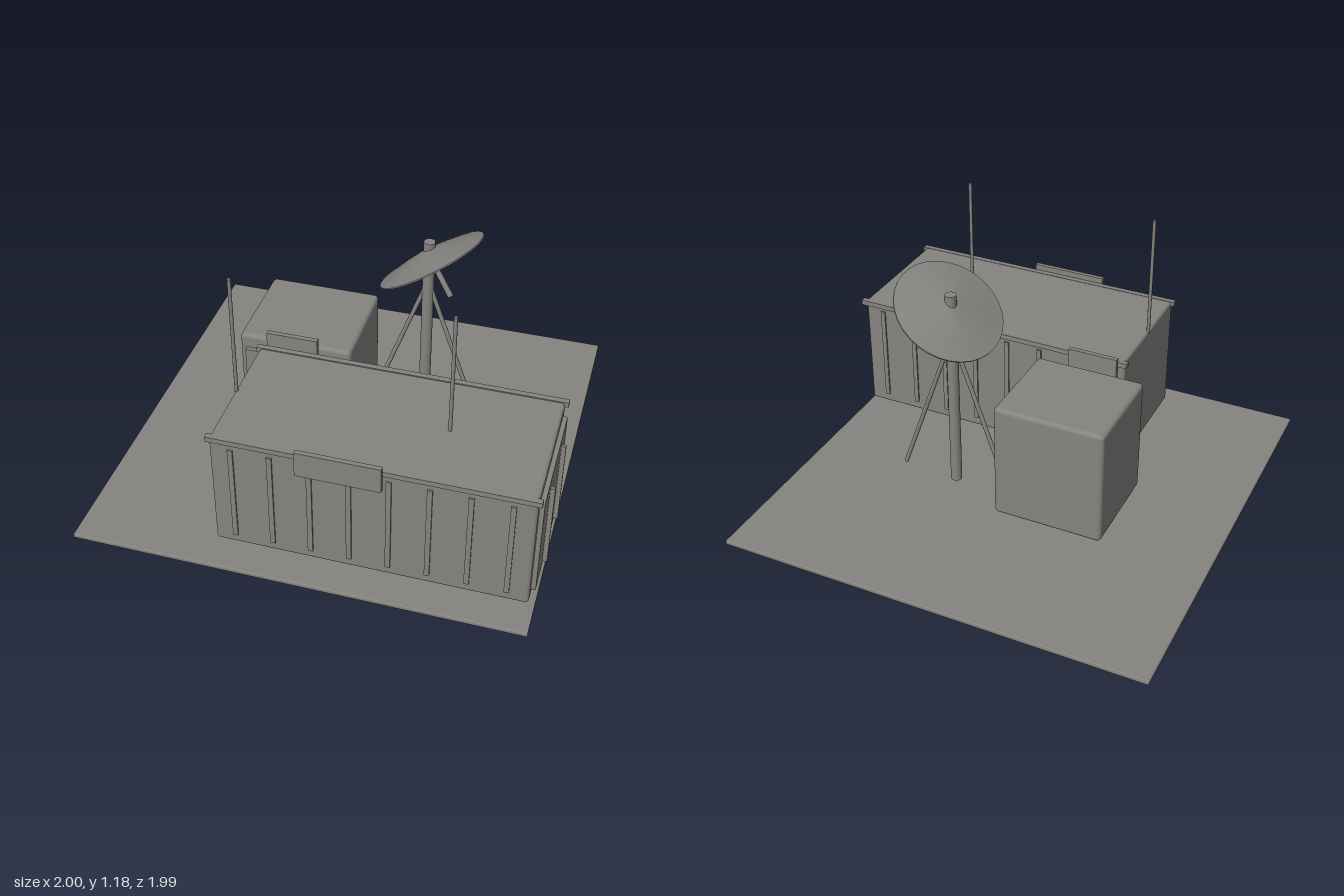
import * as THREE from 'three';
import { RoundedBoxGeometry } from 'three/addons/geometries/RoundedBoxGeometry.js';

export function createModel() {
  const model = new THREE.Group();
  model.name = 'fieldStation';
  const grey = new THREE.MeshStandardMaterial({ color: 0x868480 });
  grey.name = 'paintedGrey';

  function add(parent, name, geometry) {
    const mesh = new THREE.Mesh(geometry, grey);
    mesh.name = name;
    parent.add(mesh);
    return mesh;
  }
  // Box given by its limits on each axis, with optional rounded edges
  function box(parent, name, [x0, x1], [y0, y1], [z0, z1], radius = 0) {
    const size = [x1 - x0, y1 - y0, z1 - z0];
    const geometry = radius
      ? new RoundedBoxGeometry(...size, 2, radius)
      : new THREE.BoxGeometry(...size);
    const mesh = add(parent, name, geometry);
    mesh.position.set((x0 + x1) / 2, (y0 + y1) / 2, (z0 + z1) / 2);
    return mesh;
  }
  // Round bar between two points
  function bar(parent, name, from, to, radius, sides = 12) {
    const a = new THREE.Vector3(...from), b = new THREE.Vector3(...to);
    const dir = b.clone().sub(a);
    const mesh = add(parent, name, new THREE.CylinderGeometry(radius, radius, dir.length(), sides));
    mesh.position.copy(a).add(b).multiplyScalar(0.5);
    mesh.quaternion.setFromUnitVectors(new THREE.Vector3(0, 1, 0), dir.normalize());
    return mesh;
  }
  function group(name) {
    const g = new THREE.Group();
    g.name = name;
    model.add(g);
    return g;
  }

  // Ground slab
  box(model, 'groundSlab', [-1, 0.985], [0, 0.022], [-0.9925, 0.9925], 0.006);

  // Container cabin with roof rails and wall ribs
  const cabin = group('cabin');
  box(cabin, 'cabinBody', [-0.385, 0.96], [0.05, 0.615], [0.24, 0.862], 0.014);
  for (const [z0, z1] of [[0.22, 0.246], [0.841, 0.867]]) {
    box(cabin, 'roofRail', [-0.4, 0.975], [0.593, 0.617], [z0, z1]);
  }
  for (let i = 0; i < 8; i++) {
    const x = -0.294 + 0.166 * i;
    box(cabin, 'frontRib', [x - 0.011, x + 0.011], [0.097, 0.57], [0.855, 0.87]);
    box(cabin, 'backRib', [x - 0.011, x + 0.011], [0.097, 0.57], [0.232, 0.247]);
  }

  // End door with two locking bars
  box(cabin, 'door', [0.95, 0.98], [0.09, 0.575], [0.28, 0.82], 0.005);
  for (const z of [0.68, 0.42]) {
    box(cabin, 'doorBar', [0.978, 1], [0.13, 0.535], [z - 0.007, z + 0.007]);
  }
  box(cabin, 'frontSign', [-0.015, 0.345], [0.525, 0.645], [0.867, 0.888]);

  // Whip antennas
  for (const x of [-0.38, 0.54]) {
    bar(cabin, 'antenna', [x, 0.6, 0.548], [x, 1.18, 0.548], 0.008, 10);
  }

  // Generator with louvred panel
  const generator = group('generator');
  box(generator, 'generatorBody', [-0.515, 0], [0.035, 0.597], [-0.322, 0.147], 0.02);
  box(generator, 'ventPanel', [-0.485, -0.03], [0.098, 0.53], [0.14, 0.167]);
  for (let i = 0; i < 5; i++) {
    const y = 0.22 + 0.0585 * i;
    box(generator, 'louvre', [-0.44, -0.08], [y - 0.007, y + 0.007], [0.16, 0.192]);
  }
  box(generator, 'generatorSign', [-0.372, -0.14], [0.54, 0.66], [0.168, 0.19]);

  // Dish mast and side legs
  const station = group('dishStation');
  bar(station, 'mast', [0.262, 0.05, -0.182], [0.262, 1.02, -0.182], 0.026, 20);
  for (const s of [-1, 1]) {
    bar(station, 'mastLeg', [0.262 + s * 0.005, 0.8, -0.182], [0.262 + s * 0.265, 0.065, -0.182], 0.01);
  }

  // Tilted shallow cone with a flat underside
  const dishCentre = new THREE.Vector3(0.278, 0.93, -0.173);
  const down = new THREE.Vector3(0.536, -0.823, 0.19).normalize();
  const profile = [[0, 0], [0.2535, 0], [0.2535, 0], [0.2535, 0.006], [0.14, 0.032], [0.03, 0.054], [0, 0.056]];
  const dish = add(station, 'dish', new THREE.LatheGeometry(
    profile.map(([r, y]) => new THREE.Vector2(r, y)), 32).toNonIndexed());
  dish.geometry.computeVertexNormals();
  dish.position.copy(dishCentre);
  dish.quaternion.setFromUnitVectors(new THREE.Vector3(0, 1, 0), down.clone().negate());

  // Feed arm below the dish
  const armEnd = dishCentre.clone().addScaledVector(down, 0.18);
  bar(station, 'feedArm', dishCentre.toArray(), armEnd.toArray(), 0.013);

  return model;
}
